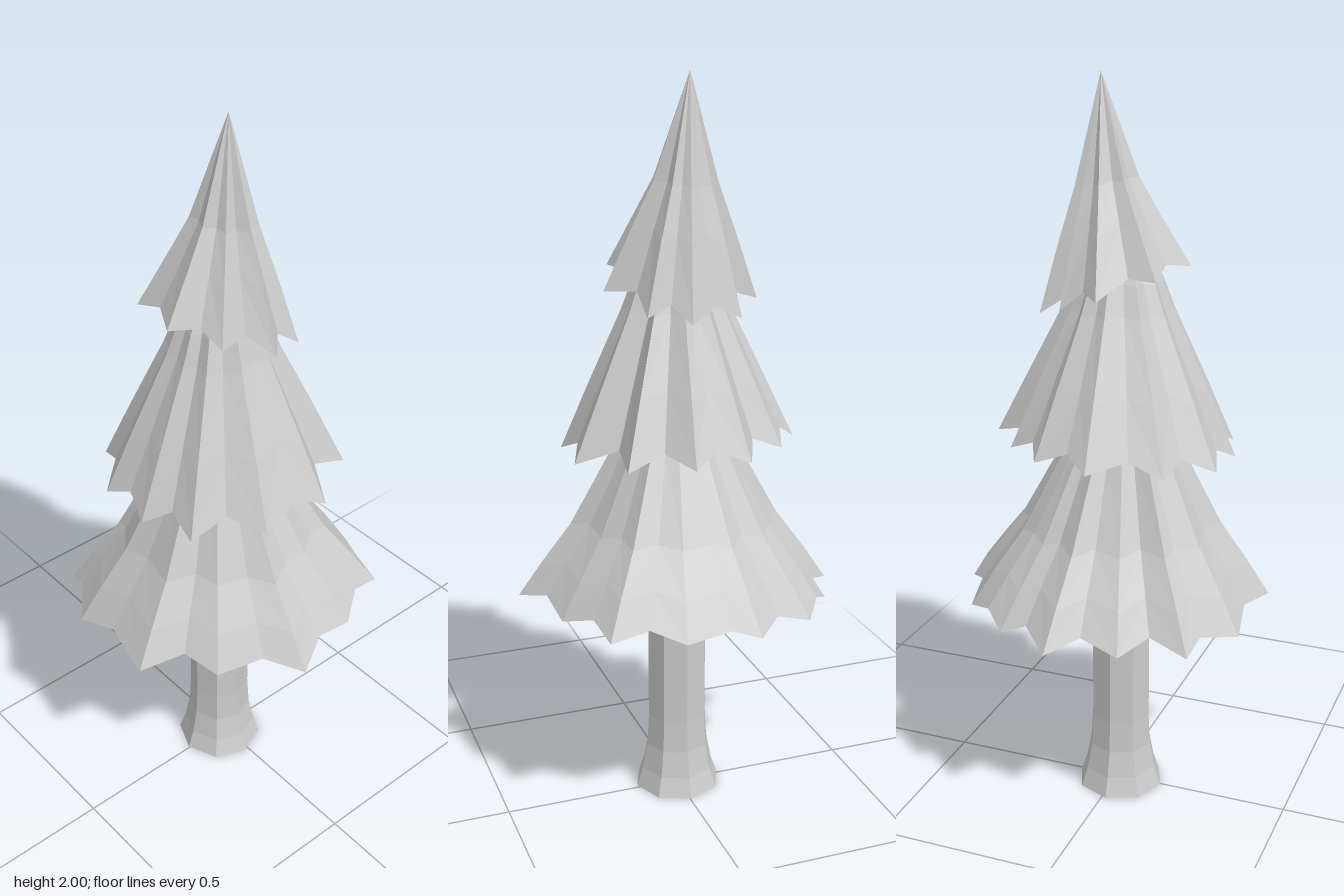
import * as THREE from 'three';

const leafMat = new THREE.MeshStandardMaterial({ color: 0xcccccc, flatShading: true, side: THREE.DoubleSide });
const barkMat = new THREE.MeshStandardMaterial({ color: 0xcccccc, flatShading: true });

// Jagged hems as x, z pairs; even points are needle tips, odd points are notches
const lowerHem = [
  0.035, -0.435, 0.115, -0.36, 0.187, -0.365, 0.247, -0.31, 0.325, -0.255, 0.34, -0.155, 0.4, -0.087,
  0.397, -0.005, 0.382, 0.11, 0.332, 0.193, 0.318, 0.293, 0.222, 0.308, 0.137, 0.368, 0.02, 0.377,
  -0.08, 0.43, -0.15, 0.338, -0.258, 0.28, -0.29, 0.182, -0.4, 0.127, -0.373, -0.023, -0.395, -0.145,
  -0.32, -0.24, -0.307, -0.308, -0.2, -0.292, -0.143, -0.373, -0.038, -0.363,
];
const middleHem = [
  -0.033, -0.315, 0.03, -0.276, 0.116, -0.287, 0.141, -0.237, 0.217, -0.21, 0.21, -0.131, 0.311, -0.087,
  0.277, -0.005, 0.31, 0.06, 0.233, 0.117, 0.238, 0.216, 0.139, 0.207, 0.084, 0.31, 0.003, 0.278,
  -0.105, 0.294, -0.167, 0.207, -0.268, 0.19, -0.258, 0.103, -0.316, 0.05, -0.288, -0.03, -0.311, -0.105,
  -0.238, -0.16, -0.215, -0.237, -0.125, -0.25,
];
const upperHem = [
  -0.025, -0.215, 0.022, -0.18, 0.083, -0.19, 0.08, -0.09, 0.171, -0.113, 0.162, -0.045, 0.187, 0.025,
  0.143, 0.067, 0.14, 0.129, 0.065, 0.131, 0, 0.2, -0.04, 0.131, -0.13, 0.15, -0.136, 0.076,
  -0.194, 0.02, -0.153, -0.057, -0.157, -0.145, -0.085, -0.147,
];

// A pleated skirt: the hem shrinks towards the top through rings of [y, scale]
function tier(name, { hem, hemY, notch, tilt, top, rings }) {
  const n = hem.length / 2;
  const pos = [], index = [];
  const levels = [[hemY, 1], ...rings];
  levels.forEach(([y, s]) => {
    for (let i = 0; i < n; i++) {
      const x = hem[2 * i], z = hem[2 * i + 1];
      const lift = (i % 2 ? notch : 0) + tilt[0] * x + tilt[1] * z;
      pos.push(
        THREE.MathUtils.lerp(top[0], x, s),
        y + lift * s * s,
        THREE.MathUtils.lerp(top[1], z, s),
      );
    }
  });
  for (let r = 0; r < levels.length - 1; r++) {
    for (let i = 0; i < n; i++) {
      const j = (i + 1) % n;
      const a = r * n + i, b = r * n + j, c = a + n, d = b + n;
      // mirror the diagonals so each pleat is symmetrical
      if (i % 2) index.push(b, a, c, b, c, d);
      else index.push(b, a, d, a, c, d);
    }
  }
  const geo = new THREE.BufferGeometry();
  geo.setAttribute('position', new THREE.Float32BufferAttribute(pos, 3));
  geo.setIndex(index);
  geo.computeVertexNormals();
  const mesh = new THREE.Mesh(geo, leafMat);
  mesh.name = name;
  return mesh;
}

export function createModel() {
  const tree = new THREE.Group();
  tree.name = 'pineTree';

  // Eight-sided trunk with a flared foot, closed at both ends
  const profile = [[0, 0], [0.122, 0], [0.104, 0.055], [0.09, 0.13], [0.085, 0.22], [0.085, 0.515], [0, 0.515]]
    .map(([r, y]) => new THREE.Vector2(r, y));
  const trunk = new THREE.Mesh(new THREE.LatheGeometry(profile, 8), barkMat);
  trunk.name = 'trunk';
  trunk.position.set(-0.012, 0, -0.004);
  tree.add(trunk);

  // Three overlapping layers of branches
  tree.add(
    tier('lowerBranches', {
      hem: lowerHem, hemY: 0.605, notch: 0.03, tilt: [0.03, 0.03], top: [-0.02, 0],
      rings: [[0.7, 0.85], [0.81, 0.66], [1.03, 0.38], [1.17, 0.2]],
    }),
    tier('middleBranches', {
      hem: middleHem, hemY: 1.035, notch: 0.035, tilt: [0.06, -0.04], top: [-0.01, 0],
      rings: [[1.2, 0.76], [1.4, 0.46], [1.48, 0.36], [1.6, 0.16]],
    }),
    tier('upperBranches', {
      hem: upperHem, hemY: 1.455, notch: 0.03, tilt: [-0.34, 0], top: [0.035, -0.022],
      rings: [[1.61, 0.68], [1.73, 0.42], [2, 0]],
    }),
  );
  return tree;
}
